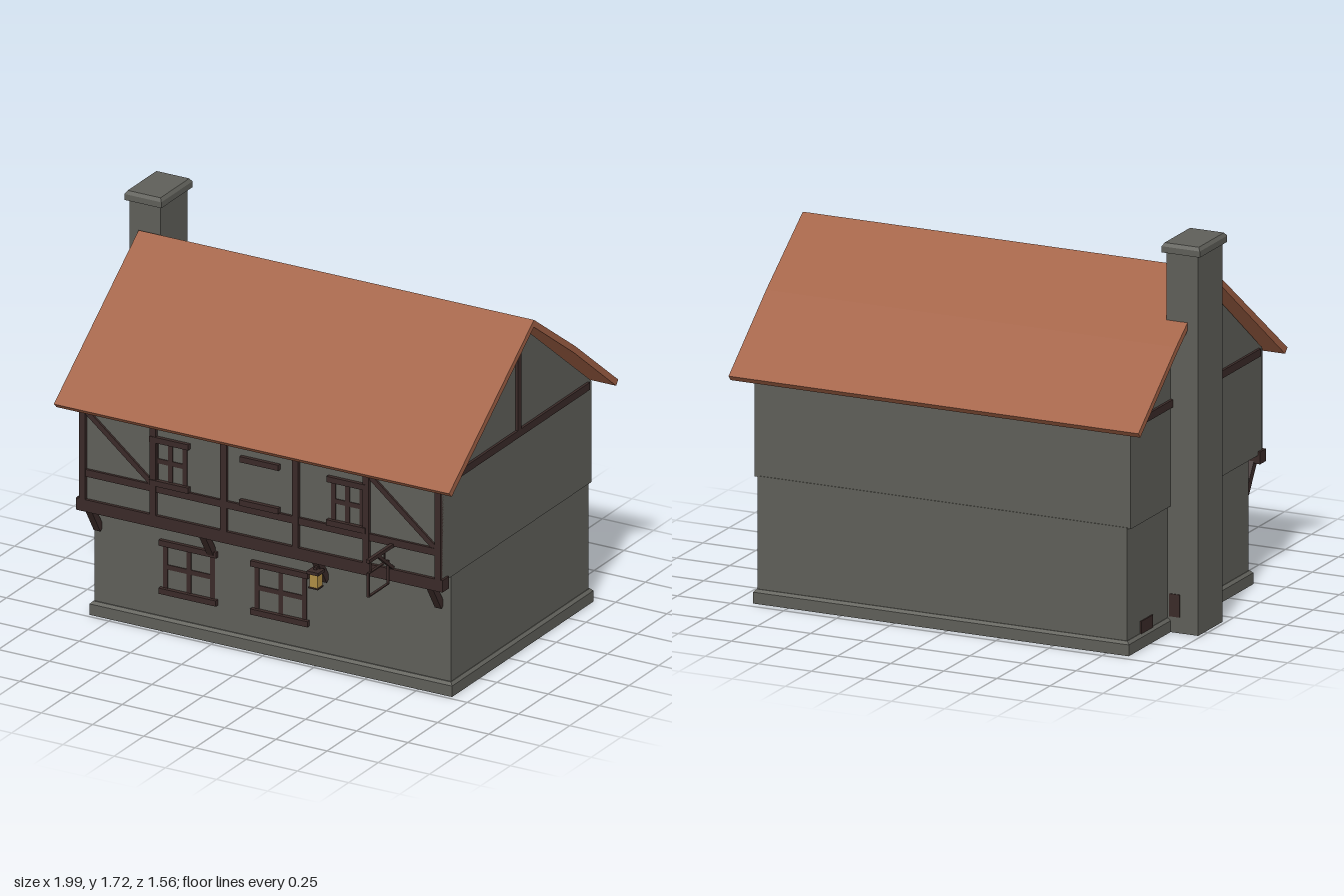
import * as THREE from 'three';

const material = (name, color) => {
  const m = new THREE.MeshStandardMaterial({ color });
  m.name = name;
  return m;
};

export function createModel() {
  const stone = material('grey stone', 0x5f5f59);
  const wood = material('dark timber', 0x3a2a28);
  const tile = material('clay tile', 0xa36246);
  const gold = material('lantern glass', 0xb08d45);
  const house = new THREE.Group();
  house.name = 'house';

  const add = (name, geometry, mat) => {
    const mesh = new THREE.Mesh(geometry, mat);
    mesh.name = name;
    house.add(mesh);
    return mesh;
  };
  // Box given by its limits; taper pulls the top edges inwards
  const box = (name, mat, x0, x1, y0, y1, z0, z1, taper = 0) => {
    const g = new THREE.BoxGeometry(x1 - x0, y1 - y0, z1 - z0);
    const p = g.attributes.position;
    for (let i = 0; taper && i < p.count; i++) {
      if (p.getY(i) < 0) continue;
      p.setX(i, p.getX(i) - Math.sign(p.getX(i)) * taper);
      p.setZ(i, p.getZ(i) - Math.sign(p.getZ(i)) * taper);
    }
    g.computeVertexNormals();
    g.translate((x0 + x1) / 2, (y0 + y1) / 2, (z0 + z1) / 2);
    return add(name, g, mat);
  };
  // Square beam running between two points
  const beam = (name, a, b, w, d) => {
    const from = new THREE.Vector3(...a), to = new THREE.Vector3(...b);
    const mesh = add(name, new THREE.BoxGeometry(w, from.distanceTo(to), d), wood);
    mesh.position.copy(from).lerp(to, 0.5);
    mesh.quaternion.setFromUnitVectors(new THREE.Vector3(0, 1, 0), to.sub(from).normalize());
  };
  // Cross-section in (z, y) pushed along x
  const prism = (name, mat, points, x0, x1) => {
    const shape = new THREE.Shape(points.map(([z, y]) => new THREE.Vector2(-z, y)));
    const g = new THREE.ExtrudeGeometry(shape, { depth: x1 - x0, bevelEnabled: false });
    g.rotateY(Math.PI / 2).translate(x0, 0, 0);
    return add(name, g, mat);
  };

  // Walls
  box('plinth', stone, -0.855, 0.915, 0, 0.05, -0.71, 0.482);
  box('plinthBevel', stone, -0.855, 0.915, 0.05, 0.062, -0.71, 0.482, 0.012);
  box('groundFloor', stone, -0.84, 0.9, 0.03, 0.56, -0.695, 0.465);
  prism('upperFloorAndGables', stone,
    [[0.565, 0.555], [0.565, 1.02], [-0.07, 1.512], [-0.692, 1.02], [-0.692, 0.555]], -0.855, 0.915);

  // Roof, bent slightly on the back slope
  prism('roof', tile, [[0.645, 1.01], [-0.07, 1.545], [-0.42, 1.295], [-0.78, 1.01],
    [-0.762, 0.988], [-0.41, 1.268], [-0.07, 1.512], [0.622, 0.988]], -0.935, 0.995);

  // Chimney
  box('chimneyStack', stone, -0.985, -0.835, 0, 1.68, -0.31, -0.08);
  box('chimneyCap', stone, -1, -0.82, 1.673, 1.7, -0.325, -0.063);
  box('chimneyCapTop', stone, -1, -0.82, 1.7, 1.715, -0.325, -0.063, 0.01);

  // Front timber frame
  [-0.835, -0.49, -0.145, 0.205, 0.55, 0.9].forEach(x =>
    box('framePost', wood, x - 0.015, x + 0.015, 0.57, 1.01, 0.55, 0.58));
  box('frameRail', wood, -0.835, 0.9, 0.677, 0.71, 0.55, 0.577);
  box('wallPlate', wood, -0.85, 0.915, 0.985, 1.01, 0.55, 0.575);
  beam('frameBrace', [-0.83, 0.985, 0.565], [-0.49, 0.705, 0.565], 0.024, 0.02);
  beam('frameBrace', [0.55, 0.985, 0.565], [0.89, 0.705, 0.565], 0.024, 0.02);
  box('jettyBeam', wood, -0.865, 0.925, 0.517, 0.572, 0.525, 0.58);
  [-0.82, -0.265, 0.285, 0.845].forEach(x =>
    beam('jettyBracket', [x, 0.545, 0.555], [x, 0.4, 0.465], 0.032, 0.032));

  // Gable timbers on both ends
  for (const x of [-0.855, 0.915]) {
    box('gableTie', wood, x - 0.012, x + 0.012, 0.993, 1.027, -0.66, 0.53);
    box('gablePost', wood, x - 0.012, x + 0.012, 1.02, 1.47, -0.082, -0.053);
  }

  // Windows: lintel, sill and thin glazing bars
  const windowFrame = (x, y0, y1, half, wall, bars) => {
    box('windowLintel', wood, x - half, x + half, y1 - 0.026, y1, wall - 0.01, wall + 0.018);
    box('windowSill', wood, x - half, x + half, y0, y0 + 0.026, wall - 0.01, wall + 0.02);
    if (!bars) return;
    const mid = (y0 + y1) / 2, w = half - 0.025, z = wall + 0.004;
    [-w, 0, w].forEach(d =>
      box('windowBar', wood, x + d - 0.011, x + d + 0.011, y0 + 0.02, y1 - 0.02, wall - 0.005, z));
    box('windowCrossbar', wood, x - w, x + w, mid - 0.011, mid + 0.011, wall - 0.005, z);
  };
  windowFrame(-0.377, 0.17, 0.416, 0.14, 0.465, true);
  windowFrame(0.07, 0.17, 0.416, 0.14, 0.465, true);
  windowFrame(-0.41, 0.708, 0.932, 0.095, 0.565, true);
  windowFrame(0.03, 0.708, 0.932, 0.095, 0.565, false);
  windowFrame(0.455, 0.708, 0.932, 0.095, 0.565, true);

  // Lantern on its arm
  box('lanternArm', wood, 0.281, 0.295, 0.477, 0.487, 0.46, 0.555);
  box('lanternCap', wood, 0.26, 0.316, 0.46, 0.474, 0.52, 0.576);
  box('lanternGlass', gold, 0.268, 0.308, 0.4, 0.46, 0.528, 0.568);
  box('lanternBase', wood, 0.264, 0.312, 0.394, 0.4, 0.524, 0.572);

  // Hanging sign frame
  box('signArm', wood, 0.668, 0.684, 0.672, 0.688, 0.56, 0.78);
  beam('signBrace', [0.676, 0.675, 0.695], [0.676, 0.575, 0.57], 0.014, 0.014);
  for (const z of [0.64, 0.755]) box('signChain', wood, 0.673, 0.679, 0.622, 0.675, z - 0.003, z + 0.003);
  for (const z of [0.61, 0.775]) box('signSide', wood, 0.67, 0.682, 0.515, 0.625, z - 0.003, z + 0.003);
  for (const y of [0.515, 0.622]) box('signEdge', wood, 0.67, 0.682, y, y + 0.005, 0.61, 0.775);

  // Dark timber scraps by the chimney foot
  box('lowTimber', wood, -0.846, -0.836, 0.06, 0.115, -0.57, -0.46);
  box('chimneyTimber', wood, -0.9, -0.85, 0.07, 0.17, -0.314, -0.306);
  return house;
}
